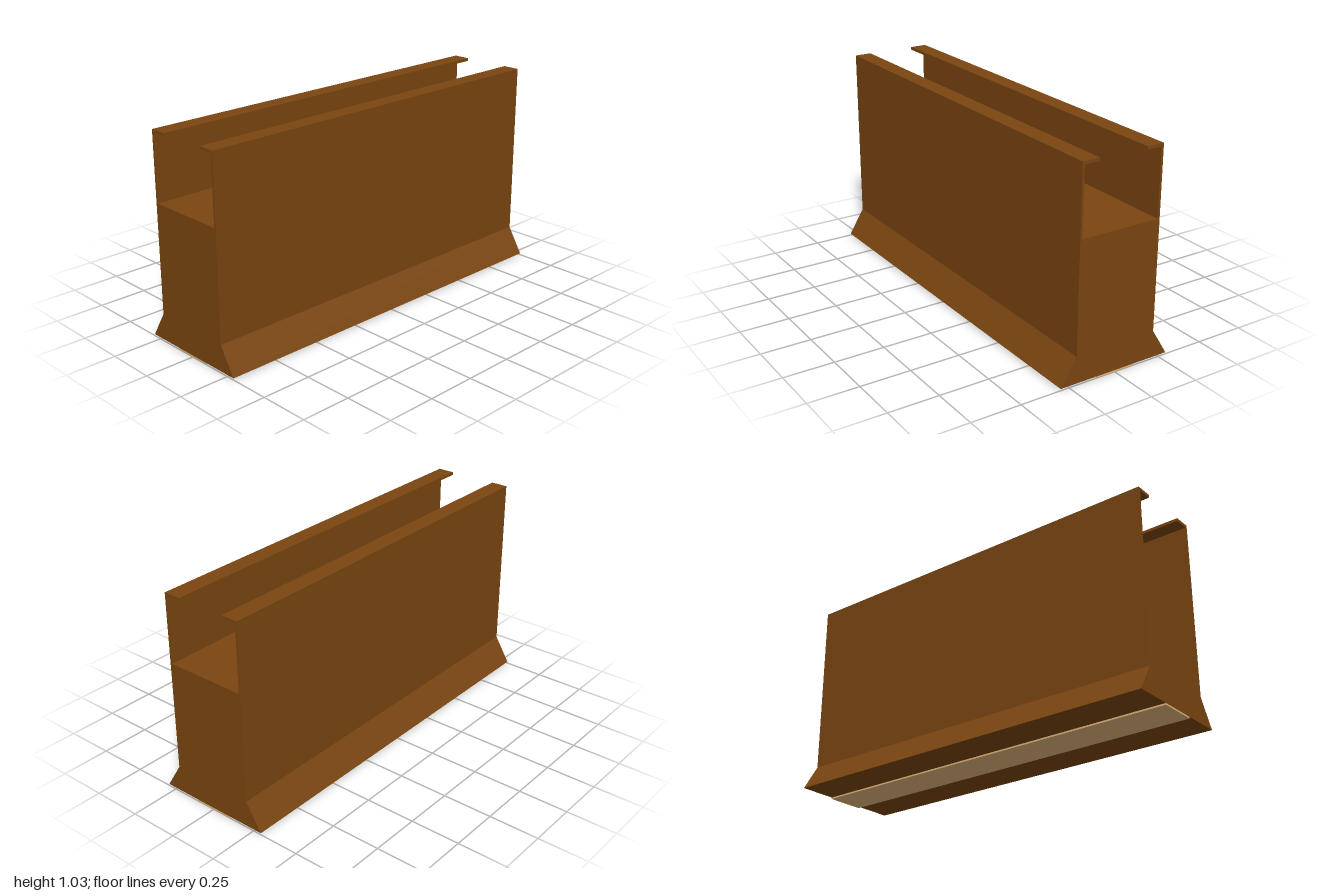
import * as THREE from 'three';

const LENGTH = 2;

export function createModel() {
  const brown = new THREE.MeshStandardMaterial({ color: 0x7a4510 });
  brown.name = 'brown';
  const tan = new THREE.MeshStandardMaterial({ color: 0xe0b47a });
  tan.name = 'tan';

  const group = new THREE.Group();
  group.name = 'channelBeam';

  // Right half of the section, from the flared foot up the wall, round the lip and down to the channel floor
  const half = [
    [0.294, 0.008], [0.213, 0.14], [0.213, 1.028], [0.126, 1.028],
    [0.126, 1.013], [0.202, 1.013], [0.202, 0.685],
  ];
  const mirrored = half.map(([x, y]) => [-x, y]).reverse();
  const section = new THREE.Shape([...half, ...mirrored].map(([x, y]) => new THREE.Vector2(x, y)));
  const bodyGeometry = new THREE.ExtrudeGeometry(section, { depth: LENGTH, bevelEnabled: false });
  bodyGeometry.translate(0, 0, -LENGTH / 2);
  const body = new THREE.Mesh(bodyGeometry, brown);
  body.name = 'beamBody';
  group.add(body);

  // Thin strip along the underside
  const strip = new THREE.Mesh(new THREE.BoxGeometry(0.196, 0.008, LENGTH), tan);
  strip.name = 'baseStrip';
  strip.position.set(-0.002, 0.004, 0);
  group.add(strip);

  return group;
}
